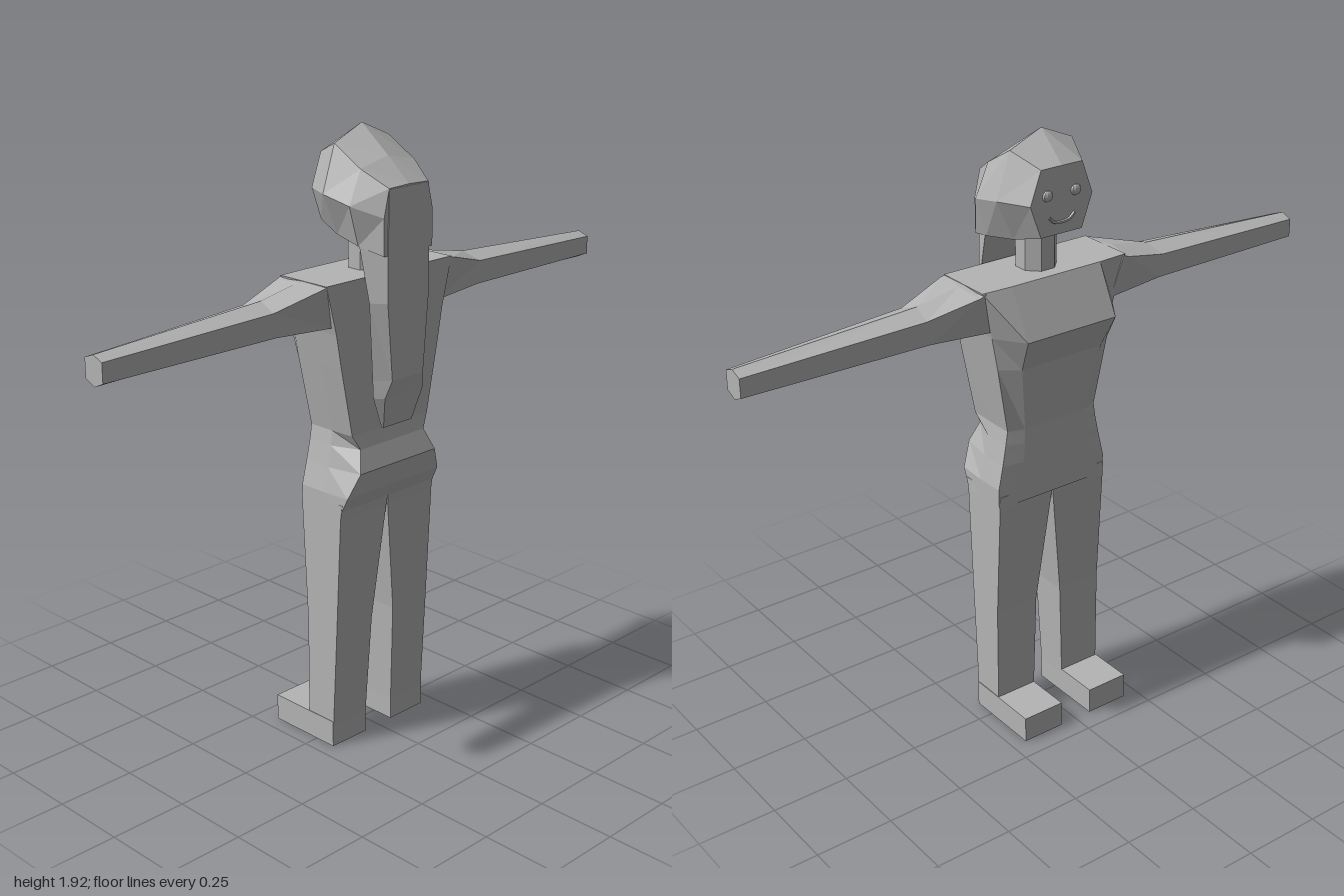
import * as THREE from 'three';

const grey = new THREE.MeshStandardMaterial({ color: 0xb4b4b4, flatShading: true });
grey.name = 'plain grey';

// Closed skin over a list of equal-length rings of [x, y, z], capped at both ends.
function loft(name, rings) {
  const n = rings[0].length, pos = [];
  const tri = (a, b, c) => pos.push(...a, ...b, ...c);
  for (let i = 0; i < rings.length - 1; i++) {
    for (let j = 0; j < n; j++) {
      const k = (j + 1) % n, A = rings[i], B = rings[i + 1];
      tri(A[j], A[k], B[k]);
      tri(A[j], B[k], B[j]);
    }
  }
  const cap = (ring, flip) => {
    const c = [0, 1, 2].map(a => ring.reduce((s, p) => s + p[a], 0) / n);
    ring.forEach((p, j) => {
      const q = ring[(j + 1) % n];
      if (flip) tri(c, p, q); else tri(c, q, p);
    });
  };
  cap(rings[0], false);
  cap(rings[rings.length - 1], true);

  // Turn the skin outwards if its signed volume is negative.
  const a = new THREE.Vector3(), b = new THREE.Vector3(), c = new THREE.Vector3();
  let volume = 0;
  for (let i = 0; i < pos.length; i += 9) {
    volume += a.fromArray(pos, i).dot(b.fromArray(pos, i + 3).cross(c.fromArray(pos, i + 6)));
  }
  if (volume < 0) {
    for (let i = 0; i < pos.length; i += 9) {
      for (let k = 3; k < 6; k++) [pos[i + k], pos[i + k + 3]] = [pos[i + k + 3], pos[i + k]];
    }
  }
  const g = new THREE.BufferGeometry();
  g.setAttribute('position', new THREE.Float32BufferAttribute(pos, 3));
  g.computeVertexNormals();
  return part(name, g);
}

function part(name, geometry, x = 0, y = 0, z = 0) {
  const m = new THREE.Mesh(geometry, grey);
  m.name = name;
  m.position.set(x, y, z);
  return m;
}

// Full ring from its +x half, given as points running round to the other side.
const mirrorRing = half => [
  ...half, ...half.filter(p => p[0] !== 0).reverse().map(([x, y, z]) => [-x, y, z]),
];

export function createModel() {
  const model = new THREE.Group();
  model.name = 'figure';

  // Torso: height, rear width, rear z, side width, side z, chest width, chest z
  const torso = [
    [1.5, 0.26, 0.12, 0.26, -0.07, 0.16, -0.075],
    [1.35, 0.222, 0.12, 0.222, -0.06, 0.16, -0.15],
    [1.245, 0.203, 0.12, 0.203, -0.06, 0.145, -0.1],
    [1.03, 0.16, 0.12, 0.163, -0.05, 0.11, -0.066],
    [0.985, 0.135, 0.13, 0.17, -0.05, 0.11, -0.066],
    [0.92, 0.16, 0.155, 0.183, -0.052, 0.115, -0.064],
    [0.845, 0.195, 0.135, 0.2, -0.054, 0.12, -0.062],
    [0.785, 0.198, 0.105, 0.2, -0.055, 0.13, -0.06],
  ];
  model.add(loft('torso', torso.map(([y, bw, bz, w, z, cw, cz]) =>
    mirrorRing([[bw, y, bz], [w, y, 0.04], [w, y, z], [cw, y, cz]]))));

  // Neck
  const neck = new THREE.CylinderGeometry(0.062, 0.062, 0.14, 8);
  neck.rotateY(Math.PI / 8);
  model.add(part('neck', neck, 0, 1.56, 0.025));

  // Head and hair cap: z, crown y, upper corner, cheek, lower corner
  const head = [
    [-0.095, 1.83, 0.073, 1.83, 0.11, 1.73, 0.073, 1.63],
    [0, 1.917, 0.11, 1.87, 0.157, 1.73, 0.1, 1.605],
    [0.105, 1.835, 0.11, 1.81, 0.155, 1.71, 0.12, 1.59],
    [0.188, 1.765, 0.08, 1.762, 0.1, 1.68, 0.1, 1.57],
  ];
  model.add(loft('head', head.map(([z, top, ux, uy, cx, cy, lx, ly]) =>
    mirrorRing([[0, top, z], [ux, uy, z], [cx, cy, z], [lx, ly, z], [0, ly, z]]))));

  // Long hair down the back: height, outer width, outer z, inner width, inner z
  const hair = [
    [1.76, 0.08, 0.19, 0.1, 0.12],
    [1.59, 0.085, 0.19, 0.12, 0.11],
    [1.43, 0.085, 0.19, 0.117, 0.147],
    [1.195, 0.065, 0.19, 0.103, 0.147],
    [1.14, 0.08, 0.175, 0.1, 0.147],
    [1.04, 0.06, 0.15, 0.062, 0.145],
  ];
  model.add(loft('longHair', hair.map(([y, ow, oz, iw, iz]) =>
    mirrorRing([[ow, y, oz], [iw, y, iz]]))));

  // Six-sided arm rings
  const arm = [
    [[0.24, 1.5, 0.02], [0.25, 1.498, -0.075], [0.21, 1.36, -0.06],
      [0.21, 1.352, 0.02], [0.21, 1.36, 0.105], [0.25, 1.498, 0.12]],
    [[0.28, 1.498, 0.02], [0.27, 1.49, -0.075], [0.225, 1.37, -0.06],
      [0.225, 1.355, 0.02], [0.225, 1.37, 0.105], [0.27, 1.495, 0.12]],
    [[0.42, 1.472, 0.022], [0.43, 1.45, -0.042], [0.42, 1.378, -0.042],
      [0.42, 1.363, 0.022], [0.42, 1.378, 0.086], [0.43, 1.45, 0.086]],
    [[1, 1.442, 0.024], [1, 1.428, -0.013], [1, 1.37, -0.013],
      [1, 1.354, 0.024], [1, 1.37, 0.06], [1, 1.428, 0.06]],
  ];
  // Leg: height, inner x, front z, rear z
  const leg = [
    [0.82, 0, -0.058, 0.115],
    [0.77, 0.003, -0.056, 0.108],
    [0.4, 0.047, -0.036, 0.09],
    [0.07, 0.057, -0.036, 0.073],
  ];
  for (const [s, side] of [[1, 'left'], [-1, 'right']]) {
    model.add(loft(side + 'Arm', arm.map(r => r.map(([x, y, z]) => [s * x, y, z]))));
    model.add(loft(side + 'Leg', leg.map(([y, x, f, b]) =>
      [[s * x, y, f], [s * 0.198, y, f], [s * 0.198, y, b], [s * x, y, b]])));
    model.add(part(side + 'Foot', new THREE.BoxGeometry(0.143, 0.085, 0.256),
      s * 0.1285, 0.0425, -0.055));
    const eye = part(side + 'Eye', new THREE.SphereGeometry(0.018, 10, 8), s * 0.05, 1.75, -0.095);
    eye.scale.set(1, 0.9, 0.5);
    model.add(eye);
  }

  // Smile
  const smile = new THREE.CatmullRomCurve3([
    [-0.045, 1.685], [-0.025, 1.668], [0.025, 1.668], [0.045, 1.685],
  ].map(([x, y]) => new THREE.Vector3(x, y, -0.096)));
  model.add(part('mouth', new THREE.TubeGeometry(smile, 10, 0.005, 5)));

  return model;
}
